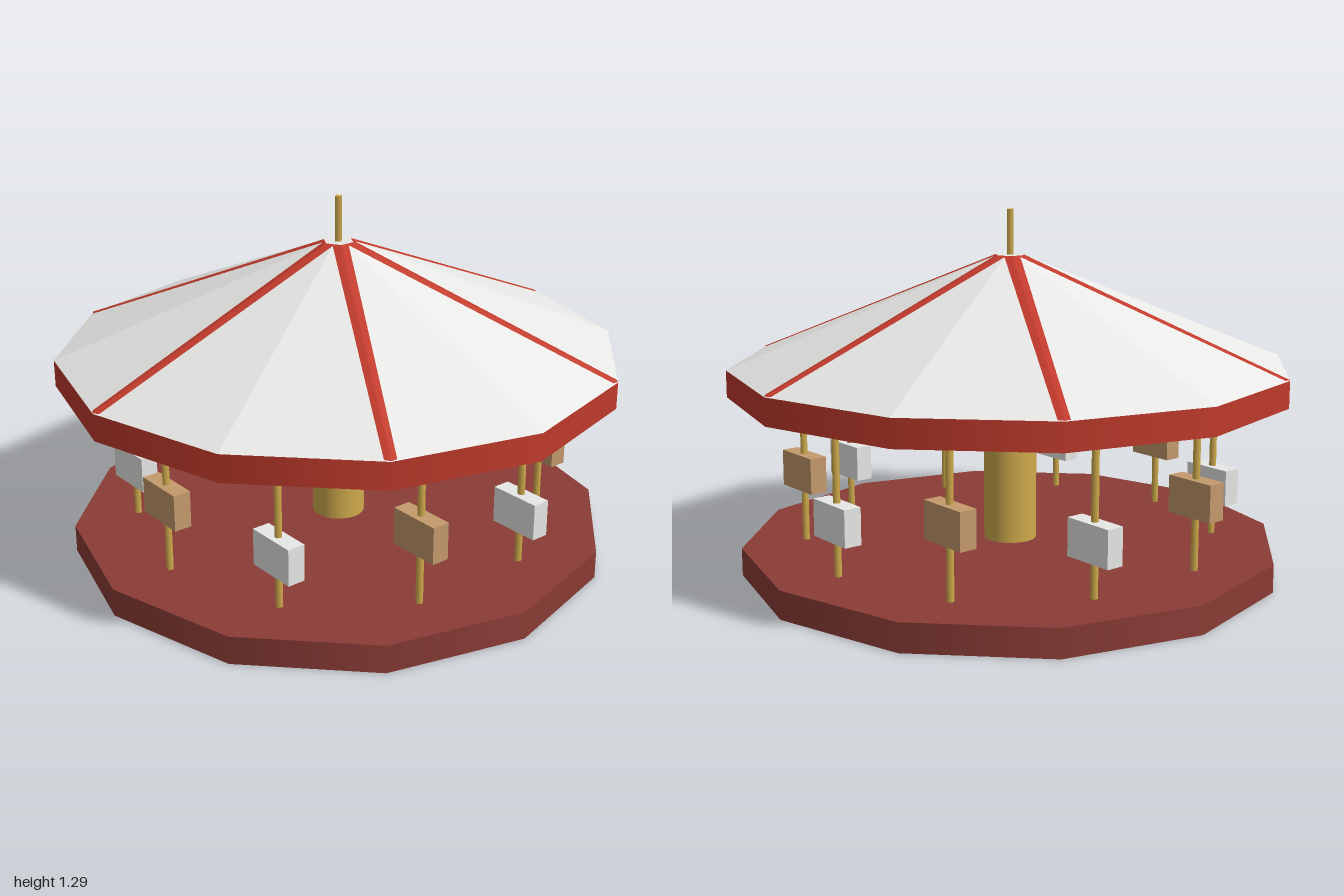
import * as THREE from 'three';

export function createModel() {
  const model = new THREE.Group();
  model.name = 'carousel';

  const material = (name, color, extra = {}) =>
    Object.assign(new THREE.MeshStandardMaterial({ color, ...extra }), { name });
  const baseRed = material('brick red', 0x8b3c36, { side: THREE.DoubleSide });
  const red = material('canopy red', 0xc03a2b, { side: THREE.DoubleSide });
  const roofRed = red.clone();
  roofRed.flatShading = true;
  const white = material('white', 0xe8e8e6, { side: THREE.DoubleSide, flatShading: true });
  const gold = material('gold', 0xd0ab4c);
  const tan = material('tan', 0xc49a6c);

  const add = (name, geometry, mat, x = 0, y = 0, z = 0, parent = model) => {
    const mesh = new THREE.Mesh(geometry, mat);
    mesh.name = name;
    mesh.position.set(x, y, z);
    parent.add(mesh);
    return mesh;
  };
  // Upright cylinder between two heights
  const column = (name, rTop, rBottom, y0, y1, sides, mat, open = false) =>
    add(name, new THREE.CylinderGeometry(rTop, rBottom, y1 - y0, sides, 1, open), mat, 0, (y0 + y1) / 2, 0);
  // Horizontal polygon facing up
  const disc = (name, r, sides, y, mat) => {
    add(name, new THREE.CircleGeometry(r, sides), mat, 0, y, 0).rotation.x = -Math.PI / 2;
  };

  // Platform, hollow underneath, and central column
  column('platformSkirt', 0.968, 0.968, 0, 0.1, 12, baseRed, true);
  disc('platformFloor', 0.968, 12, 0.1, baseRed);
  column('centreColumn', 0.095, 0.095, 0.101, 0.735, 20, gold);

  // Open canopy: rim band, twelve-sided white roof, and a six-sided red
  // frame whose corners emerge through the white as ribs
  column('canopyRim', 1, 1, 0.65, 0.745, 12, red, true);
  column('roof', 0.05, 1, 0.745, 1.13, 12, white, true);
  const ribs = column('roofRibs', 0.055, 1, 0.7475, 1.1315, 6, roofRed, true);
  ribs.rotation.y = Math.PI / 6;
  disc('roofCap', 0.055, 6, 1.1315, white);
  column('spire', 0.015, 0.015, 1.132, 1.292, 4, gold);

  // Ten poles with blocky mounts, alternating colour and height
  const poleGeometry = new THREE.CylinderGeometry(0.0125, 0.0125, 0.547, 8);
  const mountGeometry = new THREE.BoxGeometry(0.064, 0.13, 0.19);
  for (let i = 0; i < 10; i++) {
    const a = (i / 10) * Math.PI * 2;
    const ride = new THREE.Group();
    ride.name = 'ride' + (i + 1);
    ride.position.set(0.742 * Math.cos(a), 0, 0.742 * Math.sin(a));
    add('pole', poleGeometry, gold, 0, 0.3745, 0, ride);
    add('mount', mountGeometry, i % 2 ? tan : white, 0, i % 2 ? 0.356 : 0.291, 0, ride);
    model.add(ride);
  }
  return model;
}
